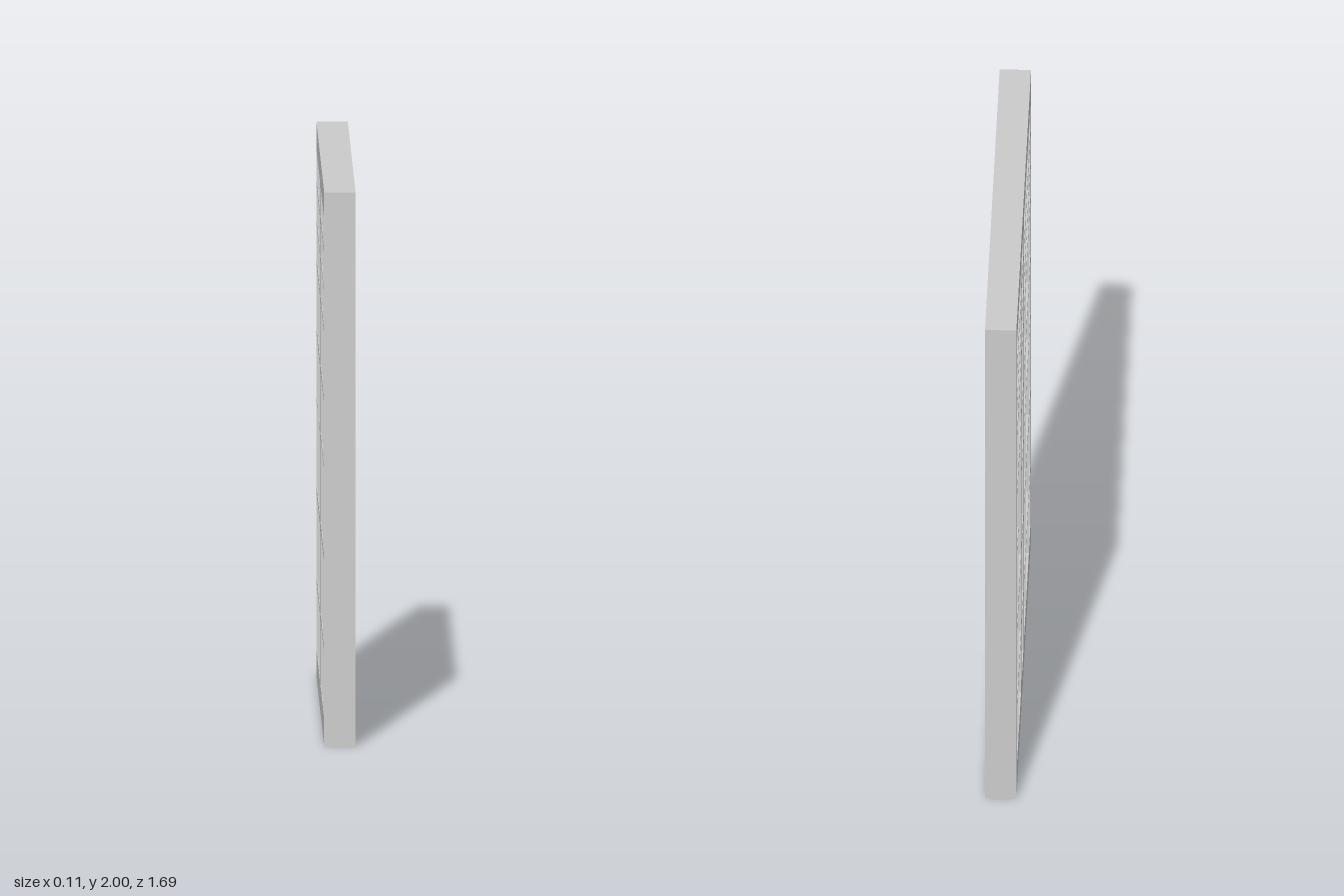
import * as THREE from 'three';

const material = new THREE.MeshStandardMaterial({ color: 0xcccccc, flatShading: true });
const HEIGHT = 2, HALF_WIDTH = 0.845, THICKNESS = 0.112, PANE_THICKNESS = 0.062;

// Vertical extents of the panes, bottom to top; the gaps between them are the rails
const rows = [
  [0.1, 0.339], [0.36, 0.661], [0.688, 0.995], [1.011, 1.235],
  [1.257, 1.487], [1.508, 1.635], [1.651, 1.773], [1.794, 1.902],
];
// One tall pane replaces two stacked ones where a rail is left out
const tallRows = [...rows.slice(0, 2), [rows[2][0], rows[3][1]], ...rows.slice(4)];

// Pane columns along z, for the two leaves of the window
const columns = [
  { z: [0.61, 0.772], rows }, { z: [0.275, 0.597], rows }, { z: [0.04, 0.249], rows },
  { z: [-0.278, -0.04], rows }, { z: [-0.59, -0.307], rows: tallRows }, { z: [-0.772, -0.619], rows },
];

// Adds a rectangle to a shape or path; shape x runs along -z
function rectangle(path, z0, z1, y0, y1) {
  path.moveTo(-z1, y0);
  path.lineTo(-z0, y0);
  path.lineTo(-z0, y1);
  path.lineTo(-z1, y1);
  path.closePath();
  return path;
}

export function createModel() {
  const group = new THREE.Group();
  group.name = 'latticeWindow';

  // Frame with its glazing bars, pierced by every pane opening
  const outline = rectangle(new THREE.Shape(), -HALF_WIDTH, HALF_WIDTH, 0, HEIGHT);
  for (const column of columns) {
    for (const [y0, y1] of column.rows) {
      outline.holes.push(rectangle(new THREE.Path(), column.z[0], column.z[1], y0, y1));
    }
  }
  const frameGeometry = new THREE.ExtrudeGeometry(outline, { depth: THICKNESS, bevelEnabled: false });
  frameGeometry.translate(0, 0, -THICKNESS / 2);
  frameGeometry.rotateY(Math.PI / 2);
  const frame = new THREE.Mesh(frameGeometry, material);
  frame.name = 'frameAndGlazingBars';
  group.add(frame);

  // Recessed panes, one sheet per leaf
  for (const side of [1, -1]) {
    const pane = new THREE.Mesh(new THREE.BoxGeometry(PANE_THICKNESS, 1.82, 0.75), material);
    pane.position.set(0, 1.0, side * 0.406);
    pane.name = side > 0 ? 'frontPane' : 'backPane';
    group.add(pane);
  }
  return group;
}
